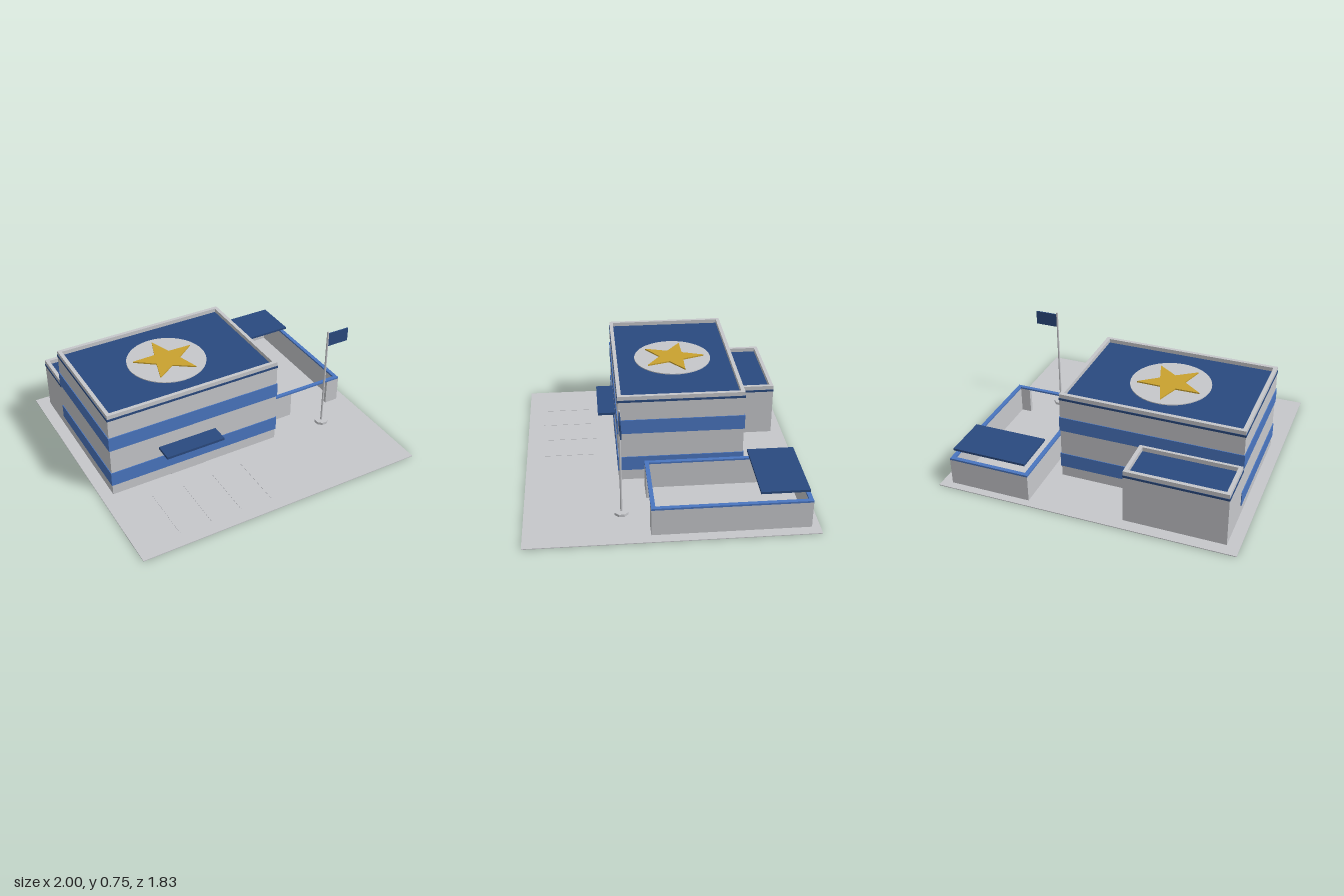
import * as THREE from 'three';

const paint = (name, color) => Object.assign(new THREE.MeshStandardMaterial({ color }), { name });

export function createModel() {
  const grey = paint('light grey', 0xc6c7cb);
  const navy = paint('navy', 0x2a4a7f);
  const blue = paint('blue', 0x4a76c0);
  const gold = paint('gold', 0xc9a22f);
  const model = new THREE.Group();
  model.name = 'buildingSite';

  const add = (name, geometry, material, parent = model) => {
    const mesh = new THREE.Mesh(geometry, material);
    mesh.name = name;
    parent.add(mesh);
    return mesh;
  };

  // Box given by its limits on each axis
  const box = (name, mat, [x0, x1], [y0, y1], [z0, z1], parent) => {
    const m = add(name, new THREE.BoxGeometry(x1 - x0, y1 - y0, z1 - z0), mat, parent);
    m.position.set((x0 + x1) / 2, (y0 + y1) / 2, (z0 + z1) / 2);
    return m;
  };

  // Flat shape lying in the x-z plane, from y0 to y1
  const slab = (name, mat, shape, y0, y1, parent) => {
    const g = new THREE.ExtrudeGeometry(shape, { depth: y1 - y0, bevelEnabled: false, curveSegments: 24 });
    g.rotateX(-Math.PI / 2);
    const m = add(name, g, mat, parent);
    m.position.y = y0;
    return m;
  };

  // Rectangular ring of thickness t
  const ring = (name, mat, [x0, x1], [y0, y1], [z0, z1], t, parent) => {
    const corners = (d) => [[x0 + d, -z1 + d], [x1 - d, -z1 + d], [x1 - d, -z0 - d], [x0 + d, -z0 - d]]
      .map((p) => new THREE.Vector2(...p));
    const shape = new THREE.Shape(corners(0));
    shape.holes.push(new THREE.Path(corners(t)));
    return slab(name, mat, shape, y0, y1, parent);
  };

  const grow = ([a, b], d) => [a - d, b + d];

  // Walls, roof slab with a thin projecting edge, and parapet
  const block = (name, x, z, roofY, top) => {
    const g = new THREE.Group();
    g.name = name;
    model.add(g);
    box('walls', grey, x, [0.005, roofY - 0.015], z, g);
    box('roofSlab', navy, grow(x, 0.003), [roofY - 0.015, roofY], grow(z, 0.003), g);
    ring('parapet', grey, x, [roofY, top], z, 0.025, g);
    return g;
  };

  // Ground and parking lines
  box('ground', grey, [-1, 1], [0, 0.005], [-0.917, 0.917]);
  for (const x of [-0.7, -0.483, -0.267, -0.05]) {
    box('parkingLine', grey, [x - 0.006, x + 0.006], [0.005, 0.007], [0.43, 0.81]);
  }

  // Main building with two window bands
  const mx = [-0.918, 0.293], mz = [-0.532, 0.295];
  const main = block('mainBuilding', mx, mz, 0.6, 0.627);
  for (const y of [[0.08, 0.18], [0.357, 0.457]]) {
    ring('windowBand', blue, grow(mx, 0.005), y, grow(mz, 0.005), 0.005, main);
  }
  box('door', grey, [-0.505, -0.25], [0.005, 0.17], [0.294, 0.298], main);
  box('entranceCanopy', navy, [-0.583, -0.171], [0.243, 0.26], [0.295, 0.415], main);

  // Roof disc and five-pointed star
  const disc = add('roofDisc', new THREE.CylinderGeometry(0.265, 0.265, 0.006, 48), grey, main);
  disc.position.set(-0.313, 0.603, -0.118);
  const points = Array.from({ length: 10 }, (_, i) => {
    const r = i % 2 ? 0.089 : 0.222, a = Math.PI / 2 + (i * Math.PI) / 5;
    return new THREE.Vector2(r * Math.cos(a), r * Math.sin(a));
  });
  const star = slab('roofStar', gold, new THREE.Shape(points), 0.606, 0.615, main);
  star.position.x = -0.313;
  star.position.z = -0.118;

  // Rear annex
  block('annex', [-0.918, -0.252], [-0.837, -0.532], 0.348, 0.377);

  // Walled yard with a gate opening at the front
  const yard = new THREE.Group();
  yard.name = 'yard';
  model.add(yard);
  const [yx0, yx1, yz0, yz1, t] = [0.38, 0.93, -0.864, 0.131, 0.027];
  const wallY = [0.005, 0.185];
  box('sideWall', grey, [yx0, yx0 + t], wallY, [yz0, yz1], yard);
  box('sideWall', grey, [yx1 - t, yx1], wallY, [yz0, yz1], yard);
  box('backWall', grey, [yx0 + t, yx1 - t], wallY, [yz0, yz0 + t], yard);
  box('frontWall', grey, [yx0 + t, 0.53], wallY, [yz1 - t, yz1], yard);
  box('frontWall', grey, [0.834, yx1 - t], wallY, [yz1 - t, yz1], yard);
  ring('coping', blue, [yx0, yx1], [0.185, 0.197], [yz0, yz1], t, yard);
  box('yardCanopy', navy, [0.406, 0.908], [0.25, 0.265], [-0.842, -0.538], yard);

  // Flagpole
  const flagpole = new THREE.Group();
  flagpole.name = 'flagpole';
  flagpole.position.set(0.68, 0, 0.3);
  model.add(flagpole);
  const base = new THREE.CylinderGeometry(0.048, 0.048, 0.018, 8).toNonIndexed();
  base.rotateY(Math.PI / 8);
  base.computeVertexNormals();
  add('poleBase', base, grey, flagpole).position.y = 0.014;
  add('pole', new THREE.CylinderGeometry(0.007, 0.007, 0.725, 8), grey, flagpole).position.y = 0.3825;
  box('flag', navy, [0.005, 0.16], [0.635, 0.732], [-0.004, 0.004], flagpole);

  return model;
}
